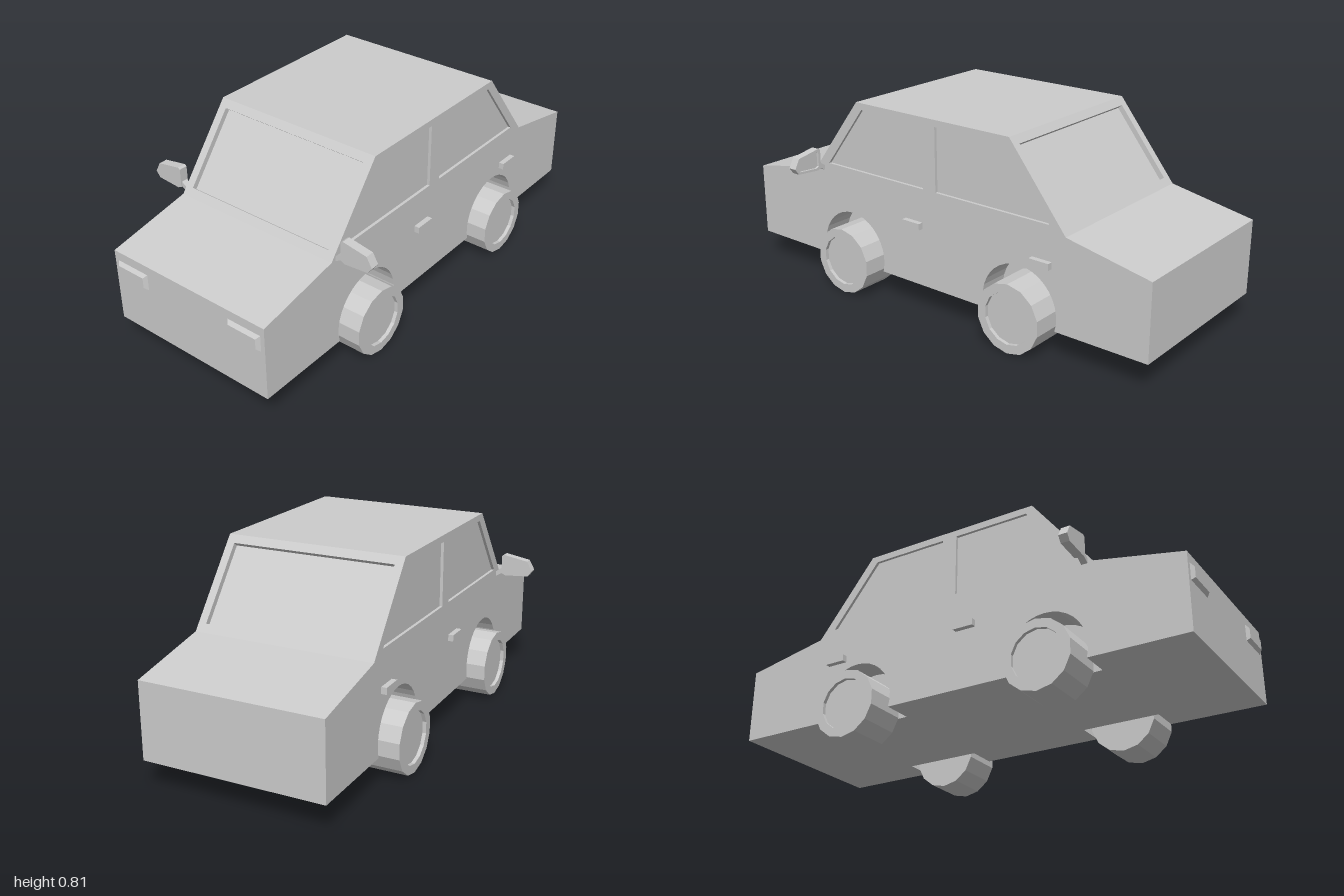
import * as THREE from 'three';
import { mergeGeometries } from 'three/addons/utils/BufferGeometryUtils.js';

const material = new THREE.MeshStandardMaterial({ color: 0xcccccc, flatShading: true });
const HALF = 0.373;                       // half the body width
const AXLES = [-0.44, 0.425];             // wheel centres along z
const WELL = 0.125;                       // depth of the wheel wells
const ARCH_R = 0.172, ARCH_Y = 0.163, FLOOR = 0.115;

// Side outline as [z, y], from the front bumper over the roof to the rear bumper
const profile = [[0.988, FLOOR], [0.988, 0.425], [0.63, 0.495], [0.38, 0.815],
  [-0.39, 0.815], [-0.645, 0.495], [-1, 0.425], [-1, FLOOR]];

const vecs = (pts) => pts.map(([x, y]) => new THREE.Vector2(x, y));

function mesh(name, geometry, parent) {
  const m = new THREE.Mesh(geometry, material);
  m.name = name;
  parent.add(m);
  return m;
}

// Sunken polygon: walls going down from z = 0 and a floor at -depth.
// An open recess has no wall between its last and first point.
function recess({ pts, depth, open }) {
  const p = vecs(pts);
  if (THREE.ShapeUtils.isClockWise(p)) p.reverse();
  const pos = [];
  for (let i = 0; i < p.length - (open ? 1 : 0); i++) {
    const a = p[i], b = p[(i + 1) % p.length];
    pos.push(a.x, a.y, 0, b.x, b.y, 0, b.x, b.y, -depth);
    pos.push(a.x, a.y, 0, b.x, b.y, -depth, a.x, a.y, -depth);
  }
  const walls = new THREE.BufferGeometry();
  walls.setAttribute('position', new THREE.Float32BufferAttribute(pos, 3));
  const floor = new THREE.ShapeGeometry(new THREE.Shape(p)).translate(0, 0, -depth);
  return [walls, floor];
}

// Flat panel with sunken areas, placed by its origin and two axes
function panel(outline, recesses, origin, u, v) {
  const shape = new THREE.Shape(vecs(outline));
  for (const r of recesses) if (!r.open) shape.holes.push(new THREE.Path(vecs(r.pts)));
  const parts = [new THREE.ShapeGeometry(shape), ...recesses.flatMap(recess)].map((g) => {
    const flat = g.index ? g.toNonIndexed() : g;
    flat.deleteAttribute('uv');
    flat.computeVertexNormals();
    return flat;
  });
  const basis = new THREE.Matrix4().makeBasis(u, v, u.clone().cross(v)).setPosition(origin);
  return mergeGeometries(parts).applyMatrix4(basis);
}

// Wheel arch as [z, y], from its rear foot to its front foot
function arch(cz) {
  const foot = Math.asin((ARCH_Y - FLOOR) / ARCH_R), n = 20;
  return Array.from({ length: n + 1 }, (_, i) => {
    const a = Math.PI + foot - (i / n) * (Math.PI + 2 * foot);
    return [cz + ARCH_R * Math.cos(a), ARCH_Y + ARCH_R * Math.sin(a)];
  });
}

function addBody(car) {
  const body = new THREE.Group();
  body.name = 'body';
  car.add(body);
  const X = new THREE.Vector3(1, 0, 0), Y = new THREE.Vector3(0, 1, 0);

  // Panels across the car, one for each profile segment
  const names = ['frontPanel', 'hood', 'windshield', 'roof', 'rearWindow', 'trunkLid', 'rearPanel'];
  names.forEach((name, i) => {
    const [z0, y0] = profile[i], [z1, y1] = profile[i + 1];
    const v = new THREE.Vector3(0, y1 - y0, z1 - z0), len = v.length();
    const rect = (w, e) => [[-w, e], [w, e], [w, len - e], [-w, len - e]];
    const glass = /windshield|rearWindow/.test(name) ? [{ pts: rect(0.34, 0.036), depth: 0.022 }] : [];
    mesh(name, panel(rect(HALF, 0), glass, new THREE.Vector3(0, y0, z0), X, v.normalize()), body);
  });

  // Underside, notched at the wheel wells
  const edge = [[HALF, -1]];
  for (const cz of AXLES) {
    const a = arch(cz), z0 = a[0][0], z1 = a[a.length - 1][0];
    edge.push([HALF, z0], [HALF - WELL, z0], [HALF - WELL, z1], [HALF, z1]);
  }
  edge.push([HALF, 0.988]);
  const under = [...edge, ...edge.map(([x, z]) => [-x, z]).reverse()];
  mesh('underside', panel(under, [], new THREE.Vector3(0, FLOOR, 0), X, new THREE.Vector3(0, 0, 1)), body);

  // Sides with sunken windows and wheel wells
  const frontWindow = [[0.555, 0.525], [0.352, 0.787], [0.03, 0.787], [0.03, 0.525]];
  const backWindow = [[-0.035, 0.525], [-0.035, 0.787], [-0.365, 0.787], [-0.573, 0.525]];
  for (const s of [1, -1]) {
    const local = (pts) => pts.map(([z, y]) => [-s * z, y]);
    const recesses = [
      ...[frontWindow, backWindow].map((w) => ({ pts: local(w), depth: 0.012 })),
      ...AXLES.map((cz) => ({ pts: local(arch(cz)), depth: WELL, open: true })),
    ];
    const outline = local([...profile, ...AXLES.flatMap(arch)]);
    mesh(s > 0 ? 'leftSide' : 'rightSide',
      panel(outline, recesses, new THREE.Vector3(s * HALF, 0, 0), new THREE.Vector3(0, 0, -s), Y), body);
  }
}

// Fourteen-sided wheel with a sunken hub
function addWheel(car, s, z) {
  const points = vecs([[0, -0.0885], [0.141, -0.0885], [0.141, 0.0885],
    [0.105, 0.0885], [0.105, 0.0735], [0, 0.0735]]);
  const wheel = mesh('wheel', new THREE.LatheGeometry(points, 14, Math.PI / 2), car);
  wheel.rotation.z = -s * Math.PI / 2;
  wheel.position.set(s * 0.3545, 0.141, z);
}

// Headlight: a box whose front face is drawn in
function addHeadlight(car, s) {
  const geo = new THREE.BoxGeometry(0.155, 0.07, 0.014);
  const p = geo.attributes.position;
  for (let i = 0; i < p.count; i++) {
    if (p.getZ(i) > 0) p.setXY(i, p.getX(i) * 0.82, p.getY(i) * 0.6);
  }
  mesh('headlight', geo, car).position.set(s * 0.278, 0.353, 0.994);
}

// Wing mirror: housing, rim around the sunken glass, and arm
function addMirror(car, s) {
  const mirror = new THREE.Group();
  mirror.name = 'wingMirror';
  mirror.position.z = 0.577;
  car.add(mirror);
  const outline = [[0.4, 0.507], [0.417, 0.499], [0.52, 0.507], [0.538, 0.532],
    [0.515, 0.573], [0.41, 0.591], [0.4, 0.585]];
  const place = (pts) => vecs(pts.map(([x, y]) => [s * x, y]));
  const extrude = (shape, depth, z) =>
    new THREE.ExtrudeGeometry(shape, { depth, bevelEnabled: false }).translate(0, 0, z);

  mesh('mirrorHousing', extrude(new THREE.Shape(place(outline)), 0.026, 0.01), mirror);
  const rim = new THREE.Shape(place(outline));
  const inner = outline.map(([x, y]) => [0.466 + (x - 0.466) * 0.83, 0.542 + (y - 0.542) * 0.76]);
  rim.holes.push(new THREE.Path(place(inner)));
  mesh('mirrorRim', extrude(rim, 0.01, 0), mirror);
  const arm = [[0.365, 0.485], [0.402, 0.508], [0.402, 0.53], [0.365, 0.505]];
  mesh('mirrorArm', extrude(new THREE.Shape(place(arm)), 0.026, 0.005), mirror);
}

export function createModel() {
  const car = new THREE.Group();
  car.name = 'car';
  addBody(car);
  for (const s of [1, -1]) {
    for (const z of AXLES) addWheel(car, s, z);
    addHeadlight(car, s);
    addMirror(car, s);
    // Door handles
    for (const z of [0.08, -0.543]) {
      mesh('doorHandle', new THREE.BoxGeometry(0.026, 0.027, 0.088), car).position.set(s * 0.382, 0.372, z);
    }
  }
  return car;
}
